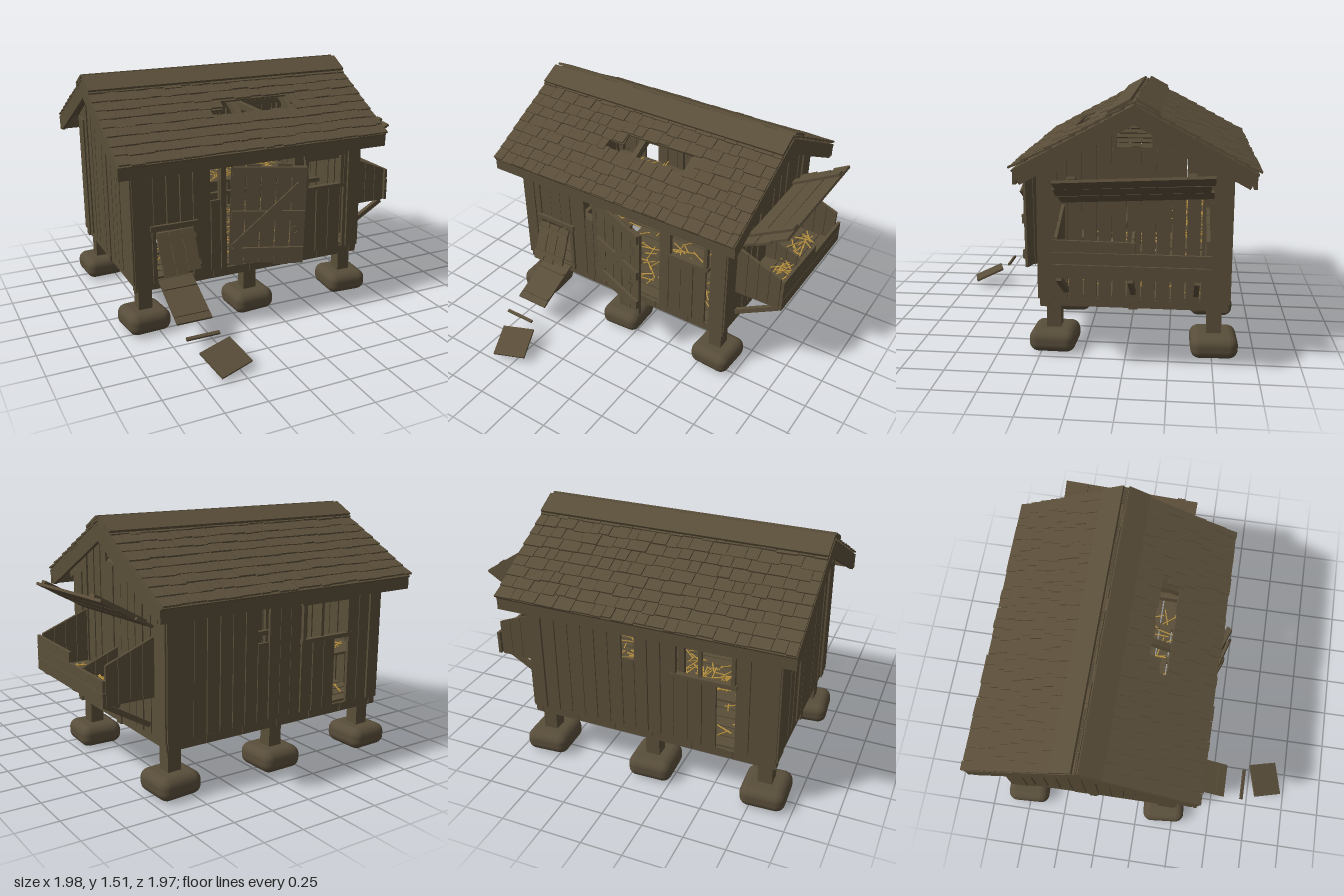
import * as THREE from 'three';
import { mergeGeometries } from 'three/addons/utils/BufferGeometryUtils.js';
import { RoundedBoxGeometry } from 'three/addons/geometries/RoundedBoxGeometry.js';

export function createModel() {
  const root = new THREE.Group();
  root.name = 'henHouse';
  const paint = (name, color) => {
    const m = new THREE.MeshStandardMaterial({ color });
    m.name = name;
    return m;
  };
  const wood = paint('weatheredWood', 0x5a4e39);
  const gold = paint('straw', 0xb8923f);
  const stone = paint('stone', 0x584d3a);

  let seed = 7;
  const rnd = (a = 0, b = 1) => {
    seed = (seed * 16807) % 2147483647;
    return a + (b - a) * (seed / 2147483647);
  };

  // Pieces of one part are collected by name and merged at the end
  const parts = new Map();
  let base = new THREE.Matrix4();
  const frame = (x, y, z, rx = 0, ry = 0, rz = 0, order = 'XYZ') => new THREE.Matrix4().compose(
    new THREE.Vector3(x, y, z),
    new THREE.Quaternion().setFromEuler(new THREE.Euler(rx, ry, rz, order)),
    new THREE.Vector3(1, 1, 1));
  function add(name, geo, mat, m = new THREE.Matrix4()) {
    const g = geo.index ? geo.toNonIndexed() : geo;
    g.clearGroups();
    g.applyMatrix4(m).applyMatrix4(base);
    if (!parts.has(name)) parts.set(name, { mat, list: [] });
    parts.get(name).list.push(g);
  }
  const box = (name, w, h, d, x, y, z, rx = 0, ry = 0, rz = 0, mat = wood) =>
    add(name, new THREE.BoxGeometry(w, h, d), mat, frame(x, y, z, rx, ry, rz));
  // Box given by its limits, its top optionally cut by a rule top(x, z)
  function span(name, x0, x1, y0, y1, z0, z1, top) {
    const g = new THREE.BoxGeometry(x1 - x0, y1 - y0, z1 - z0);
    g.translate((x0 + x1) / 2, (y0 + y1) / 2, (z0 + z1) / 2);
    const p = g.attributes.position;
    if (top) for (let i = 0; i < p.count; i++)
      if (p.getY(i) > (y0 + y1) / 2) p.setY(i, top(p.getX(i), p.getZ(i)));
    add(name, g.toNonIndexed(), wood);
  }
  // Beam between two points in the x-y plane
  const strut = (name, x0, y0, x1, y1, z, t, d) => box(name, Math.hypot(x1 - x0, y1 - y0), t, d,
    (x0 + x1) / 2, (y0 + y1) / 2, z, 0, 0, Math.atan2(y1 - y0, x1 - x0));

  const ridgeZ = -0.29, ridgeY = 1.475, pitch = 0.495, slope = Math.tan(pitch);
  const X0 = -0.89, X1 = 0.655, Z0 = -0.84, Z1 = 0.26, Y0 = 0.33;
  const underRoof = z => ridgeY - 0.02 - slope * Math.abs(z - ridgeZ);

  // Foundation stones and posts
  for (const x of [-0.82, -0.118, 0.585]) for (const z of [0.18, -0.76]) {
    add('foundationStones', new RoundedBoxGeometry(0.27, 0.135, 0.275, 4, 0.055), stone,
      frame(x, 0.077, z, rnd(-0.03, 0.03), rnd(-0.1, 0.1), rnd(-0.03, 0.03)));
    span('posts', x - 0.043, x + 0.043, 0.12, 0.3, z - 0.043, z + 0.043);
  }

  // Floor frame and floor boards
  for (const z of [Z1 - 0.03, ridgeZ, Z0 + 0.03]) span('floorFrame', X0, X1, 0.28, 0.335, z - 0.025, z + 0.025);
  for (let i = 0; i < 7; i++) {
    const x = X0 + 0.03 + i * 0.2475;
    span('floorFrame', x - 0.02, x + 0.02, 0.285, 0.333, Z0, Z1);
  }
  for (let i = 0; i < 12; i++) {
    const z = Z0 + 0.02 + i * 0.089, cut = i === 5 || i === 8 ? rnd(0.3, 0.6) : 0;
    span('floorBoards', X0 + 0.02 + cut, X1 - 0.02, 0.335, 0.35, z, z + 0.079);
  }

  // Long walls: [from, to, [lower, upper] ranges]; gaps are windows, doors and lost boards
  const H = 1.16;
  const longWall = (name, z, runs) => {
    for (const [a, b, ranges] of runs) {
      const n = Math.max(1, Math.round((b - a) / 0.085)), w = (b - a) / n;
      for (let i = 0; i < n; i++) for (const [y0, y1] of ranges) {
        const o = rnd(-0.004, 0.004);
        span(name, a + i * w + 0.002, a + (i + 1) * w - 0.003, y0, y1, z - 0.009 + o, z + 0.009 + o);
      }
    }
  };
  longWall('frontWall', Z1 - 0.01, [
    [X0, -0.76, [[Y0, H]]], [-0.76, -0.51, [[0.65, H]]], [-0.51, -0.395, [[Y0, H]]],
    [-0.395, -0.33, [[Y0, 0.79], [1.0, H]]], [-0.33, -0.29, [[Y0, H]]], [-0.29, 0.18, [[1.02, H]]],
    [0.18, 0.25, [[Y0, H]]], [0.25, 0.52, [[Y0, 0.77], [0.99, H]]], [0.545, X1, [[Y0, H]]]]);
  longWall('backWall', Z0 + 0.01, [
    [X0, -0.64, [[Y0, H]]], [-0.64, -0.53, [[1.0, H]]], [-0.53, -0.27, [[Y0, 0.77], [1.0, H]]],
    [-0.27, -0.03, [[Y0, H]]], [-0.03, 0.05, [[Y0, 0.8], [1.0, H]]], [0.05, X1, [[Y0, H]]]]);

  // Window frames
  const windowFrame = (x0, x1, y0, y1, z) => {
    for (const y of [y0, y1]) box('windowFrames', x1 - x0 + 0.04, 0.025, 0.035, (x0 + x1) / 2, y, z);
    for (const x of [x0, x1]) box('windowFrames', 0.022, y1 - y0, 0.03, x, (y0 + y1) / 2, z);
  };
  windowFrame(0.26, 0.52, 0.77, 0.985, Z1);
  box('windowFrames', 0.27, 0.018, 0.015, 0.39, 0.955, Z1 - 0.02);
  windowFrame(-0.63, -0.28, 0.77, 1.0, Z0);
  box('windowFrames', 0.02, 0.22, 0.02, -0.43, 0.885, Z0 + 0.01);

  // Gable walls with boards cut to the roof line
  const gable = (name, x, vent) => {
    const n = 13, w = (Z1 - Z0) / n;
    for (let i = 0; i < n; i++) {
      const a = Z0 + i * w + 0.003, b = a + w - rnd(0.005, 0.013), o = rnd(-0.004, 0.004);
      const cuts = vent && i > 4 && i < 8 ? [[Y0, 1.23, null], [1.36, 1.45, underRoof]] : [[Y0, 1.4, underRoof]];
      for (const [y0, y1, t] of cuts) span(name, x - 0.009 + o, x + 0.009 + o, y0, y1, a, b, t && ((px, z) => t(z)));
    }
  };
  gable('leftGable', X1 - 0.012, true);
  gable('rightGable', X0 + 0.012, false);
  for (let i = 0; i < 5; i++) box('gableVent', 0.012, 0.02, 0.2, X1 - 0.005, 1.245 + i * 0.026, ridgeZ, 0, 0, 0.5);
  for (const y of [1.23, 1.365]) box('gableVent', 0.025, 0.016, 0.23, X1 + 0.002, y, ridgeZ);
  for (const s of [-1, 1]) box('gableVent', 0.025, 0.14, 0.016, X1 + 0.002, 1.297, ridgeZ + s * 0.107);

  // Corner boards and inner studs
  for (const [x, s] of [[X0, 1], [X1, -1]]) for (const [z, t] of [[Z0, 1], [Z1, -1]]) {
    box('cornerBoards', 0.02, 0.8, 0.11, x, Y0 + 0.4, z + t * 0.055);
    box('cornerBoards', 0.085, 0.8, 0.02, x + s * 0.042, Y0 + 0.4, z);
  }
  for (const x of [X0 + 0.04, -0.31, 0.2, X1 - 0.04]) for (const z of [Z0 + 0.035, Z1 - 0.035])
    span('studs', x - 0.018, x + 0.018, 0.34, H, z - 0.015, z + 0.015);
  for (const z of [Z0 + 0.04, Z1 - 0.04]) box('topPlates', X1 - X0 - 0.03, 0.04, 0.04, -0.118, 1.12, z);

  // Roof slopes: u along the ridge, n outward, s down the slope
  const roofX = -0.1175, half = 0.8825, rows = 10, step = 0.0775;
  const holes = { 4: [-0.1, 0.37], 5: [-0.21, 0.4] };
  for (const side of [0, 1]) {
    base = frame(roofX, ridgeY, ridgeZ, pitch, side * Math.PI, 0, 'YXZ');
    const tag = side ? 'back' : 'front';
    for (let r = 0; r < rows; r++) {
      const s = r * step, hole = side ? null : holes[r];
      const decks = hole ? [[-half, hole[0]], [hole[1], half]] : [[-half, half]];
      for (const [a, b] of decks) span(tag + 'RoofDeck', a, b, -0.007, 0.005, s, s + step);
      for (let u = -half; u < half - 0.01;) {
        let e = Math.min(half, u + rnd(0.055, 0.13));
        if (half - e < 0.04) e = half;
        if (!hole || e < hole[0] + 0.03 || u > hole[1] - 0.03)
          box(tag + 'Shingles', e - u - 0.004, 0.011, 0.1 + rnd(-0.008, 0.008), (u + e) / 2,
            0.016 + rnd(0, 0.005), s + 0.03 + rnd(-0.004, 0.006), -0.1, rnd(-0.02, 0.02), 0);
        u = e;
      }
    }
    box('ridgeCap', half * 2, 0.016, 0.145, 0, 0.036, 0.071);
    // Rafters, barge boards and fascia
    for (let i = 0; i < 5; i++) box('rafters', 0.035, 0.05, 0.75, -0.74 + i * 0.37, -0.033, 0.39);
    for (const s of [-1, 1]) box('bargeBoards', 0.022, 0.09, 0.765, s * (half - 0.012), -0.045, 0.39);
    base = new THREE.Matrix4();
    box('fascia', half * 2, 0.085, 0.02, roofX, 1.073, ridgeZ + (side ? -1 : 1) * 0.665);
  }
  box('ridgeBeam', half * 2 - 0.04, 0.06, 0.03, roofX, 1.43, ridgeZ);
  for (const x of [-0.49, 0.25]) box('tieBeams', 0.035, 0.045, 1.05, x, 1.13, ridgeZ);

  // Door hanging ajar with ledges, brace and ring handle
  base = frame(-0.285, 0.35, Z1 + 0.01, 0, -0.36, -0.03);
  for (let i = 0; i < 5; i++) span('door', i * 0.094, i * 0.094 + 0.087, rnd(0, 0.025), 0.67 - rnd(0, 0.03), -0.009, 0.009);
  for (const y of [0.1, 0.34, 0.62]) box('doorLedges', 0.45, 0.06, 0.018, 0.235, y, 0.018, 0, 0, rnd(-0.02, 0.02));
  strut('doorBrace', 0.03, 0.13, 0.43, 0.54, 0.034, 0.06, 0.016);
  add('doorRing', new THREE.TorusGeometry(0.02, 0.004, 6, 16), wood, frame(0.4, 0.25, 0.03));

  // Small hatch leaning out over its opening
  base = frame(-0.635, 0.655, Z1 + 0.012, -0.42, 0, 0.02);
  for (let i = 0; i < 3; i++) span('hatch', -0.12 + i * 0.08, -0.045 + i * 0.08, -0.26 - rnd(0, 0.02), -0.01, -0.007, 0.007);
  for (const y of [-0.055, -0.22]) box('hatchLedges', 0.24, 0.03, 0.014, 0, y, 0.013);
  base = new THREE.Matrix4();
  for (const x of [-0.765, -0.505]) box('hatchFrame', 0.025, 0.34, 0.02, x, 0.5, Z1 + 0.006);
  box('hatchFrame', 0.3, 0.03, 0.025, -0.635, 0.675, Z1 + 0.006);

  // Broken ramp with loose pieces on the ground
  box('ramp', 0.22, 0.014, 0.34, -0.64, 0.263, 0.425, 0.45);
  for (const [y, z] of [[0.312, 0.345], [0.22, 0.53]]) box('rampCleats', 0.21, 0.014, 0.02, -0.64, y, z, 0.45);
  box('looseCleat', 0.205, 0.014, 0.02, -0.64, 0.155, 0.702, 0.45);
  add('looseRampBoard', new THREE.BoxGeometry(0.22, 0.014, 0.205), wood,
    frame(-0.568, 0.08, 0.858, 0.4, 0.3, 0, 'XYZ'));

  // Nest box on the left side
  const sideTop = x => 0.9 - (x - X1) * 0.4;
  for (const z of [0.115, ridgeZ, -0.705]) for (let i = 0; i < 4; i++) {
    const x = X1 + i * 0.074;
    span('nestBoxSides', x, x + 0.071, 0.56, 0.8, z - 0.009, z + 0.009, px => sideTop(px) - (z === ridgeZ ? 0.15 : 0));
  }
  for (let i = 0; i < 3; i++) span('nestBoxFloor', X1 + i * 0.1, X1 + i * 0.1 + 0.096, 0.56, 0.575, -0.71, 0.12);
  box('nestBoxFront', 0.018, 0.075, 0.86, 0.965, 0.6, -0.295);
  box('nestBoxFront', 0.018, 0.065, 0.86, 0.965, 0.674, -0.295);
  span('nestBoxFront', 0.957, 0.975, 0.71, 0.78, -0.32, 0.13, (x, z) => (z < 0 ? 0.77 : 0.775));
  for (const z of [0.1, ridgeZ, -0.65]) strut('nestBoxBraces', X1, 0.385, 0.94, 0.55, z, 0.03, 0.03);

  // Nest box lid propped open
  base = frame(0.66, 0.935, -0.3, 0.045, 0, 0.52);
  for (let i = 0; i < 3; i++) box('nestBoxLid', 0.112, 0.016, 0.87 - rnd(0, 0.03), 0.066 + i * 0.118, 0, rnd(-0.012, 0.012), 0, rnd(-0.02, 0.02), 0);
  for (const z of [-0.32, 0.32]) box('lidBattens', 0.35, 0.018, 0.05, 0.185, 0.017, z);
  base = new THREE.Matrix4();

  // Roosting shelf, perch and scattered straw
  span('roostShelf', X0 + 0.05, X1 - 0.05, 0.63, 0.645, -0.8, -0.5);
  box('perch', X1 - X0 - 0.06, 0.03, 0.03, -0.118, 0.66, -0.2);
  const scatter = (n, x0, x1, y, z0, z1) => {
    for (let i = 0; i < n; i++) box('strawLitter', rnd(0.07, 0.15), 0.005, 0.007, rnd(x0, x1), y + rnd(0, 0.025),
      rnd(z0, z1), 0, rnd(0, 3.14), rnd(-0.1, 0.1), gold);
  };
  scatter(130, -0.78, 0.55, 0.355, -0.74, 0.16);
  scatter(100, -0.75, 0.52, 0.65, -0.74, -0.55);
  scatter(40, 0.74, 0.87, 0.58, -0.62, 0.03);

  for (const [name, { mat, list }] of parts) {
    const mesh = new THREE.Mesh(mergeGeometries(list), mat);
    mesh.name = name;
    root.add(mesh);
  }
  return root;
}
